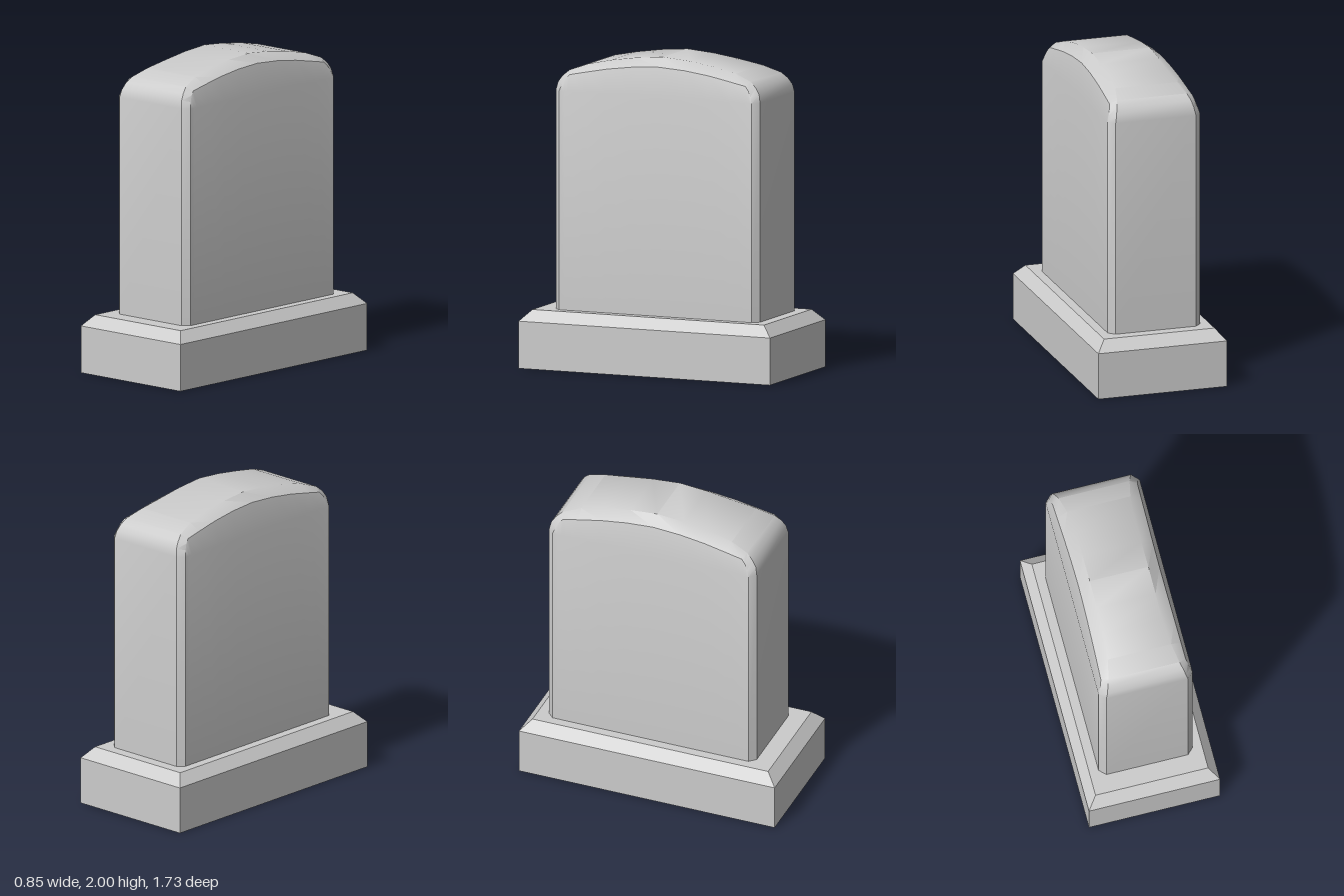
import * as THREE from 'three';
import { toCreasedNormals } from 'three/addons/utils/BufferGeometryUtils.js';

const material = new THREE.MeshStandardMaterial({ color: 0xcccccc });

// Plinth: a box whose top row is drawn in to form a chamfer
function createPlinth() {
  const geo = new THREE.BoxGeometry(0.85, 0.37, 1.73, 1, 2, 1);
  const pos = geo.attributes.position;
  for (let i = 0; i < pos.count; i++) {
    const y = pos.getY(i);
    if (Math.abs(y) < 0.01) pos.setY(i, 0.115);
    if (y > 0.1) {
      pos.setX(i, Math.sign(pos.getX(i)) * 0.365);
      pos.setZ(i, Math.sign(pos.getZ(i)) * 0.797);
    }
  }
  geo.translate(0, 0.185, 0);
  const mesh = new THREE.Mesh(toCreasedNormals(geo, 0.3), material);
  mesh.name = 'plinth';
  return mesh;
}

// Stone: cross-sections swept over the arched top from front foot to back foot
function createStone() {
  const foot = 0.36, shoulder = 1.76, sideX = 0.305;
  // each row: crown [x, y, z], then side edge [x, y, z]
  const half = [
    [[0.265, foot, 0.7025], [0.305, foot, 0.6625]],
    [[0.265, 1.76, 0.7025], [0.305, 1.76, 0.6625]],
    [[0.255, 1.81, 0.692], [0.293, 1.8, 0.648]],
    [[0.245, 1.85, 0.665], [0.283, 1.835, 0.63]],
    [[0.23, 1.885, 0.625], [0.275, 1.862, 0.605]],
    [[0.205, 1.927, 0.51], [0.272, 1.883, 0.5]],
    [[0.19, 1.96, 0.35], [0.268, 1.912, 0.35]],
    [[0.19, 1.985, 0.18], [0.264, 1.934, 0.18]],
    [[0.19, 2.0, 0], [0.262, 1.945, 0]],
  ];
  const flip = ([x, y, z]) => [x, y, -z];
  const rows = [...half, ...half.slice(0, -1).reverse().map((r) => r.map(flip))];

  // section from the right foot, over the crown, to the left foot
  const sections = rows.map(([crown, edge]) => {
    const left = [
      crown,
      edge,
      [sideX, Math.min(shoulder, edge[1]), edge[2]],
      [sideX, foot, edge[2]],
    ];
    const right = left.map(([x, y, z]) => [-x, y, z]).reverse();
    return [...right, ...left].map((p) => new THREE.Vector3(...p));
  });

  const points = [];
  const addTriangle = (a, b, c) => {
    if (new THREE.Triangle(a, b, c).getArea() > 1e-7) points.push(a, b, c);
  };
  for (let i = 0; i < sections.length - 1; i++) {
    for (let j = 0; j < sections[i].length - 1; j++) {
      const a = sections[i][j], b = sections[i][j + 1];
      const c = sections[i + 1][j + 1], d = sections[i + 1][j];
      addTriangle(a, b, c);
      addTriangle(a, c, d);
    }
  }
  const geo = new THREE.BufferGeometry().setFromPoints(points);
  geo.translate(0, 0, -0.0225);
  const mesh = new THREE.Mesh(toCreasedNormals(geo, 0.61), material);
  mesh.name = 'headstone';
  return mesh;
}

export function createModel() {
  const model = new THREE.Group();
  model.name = 'gravestone';
  model.add(createPlinth(), createStone());
  return model;
}
